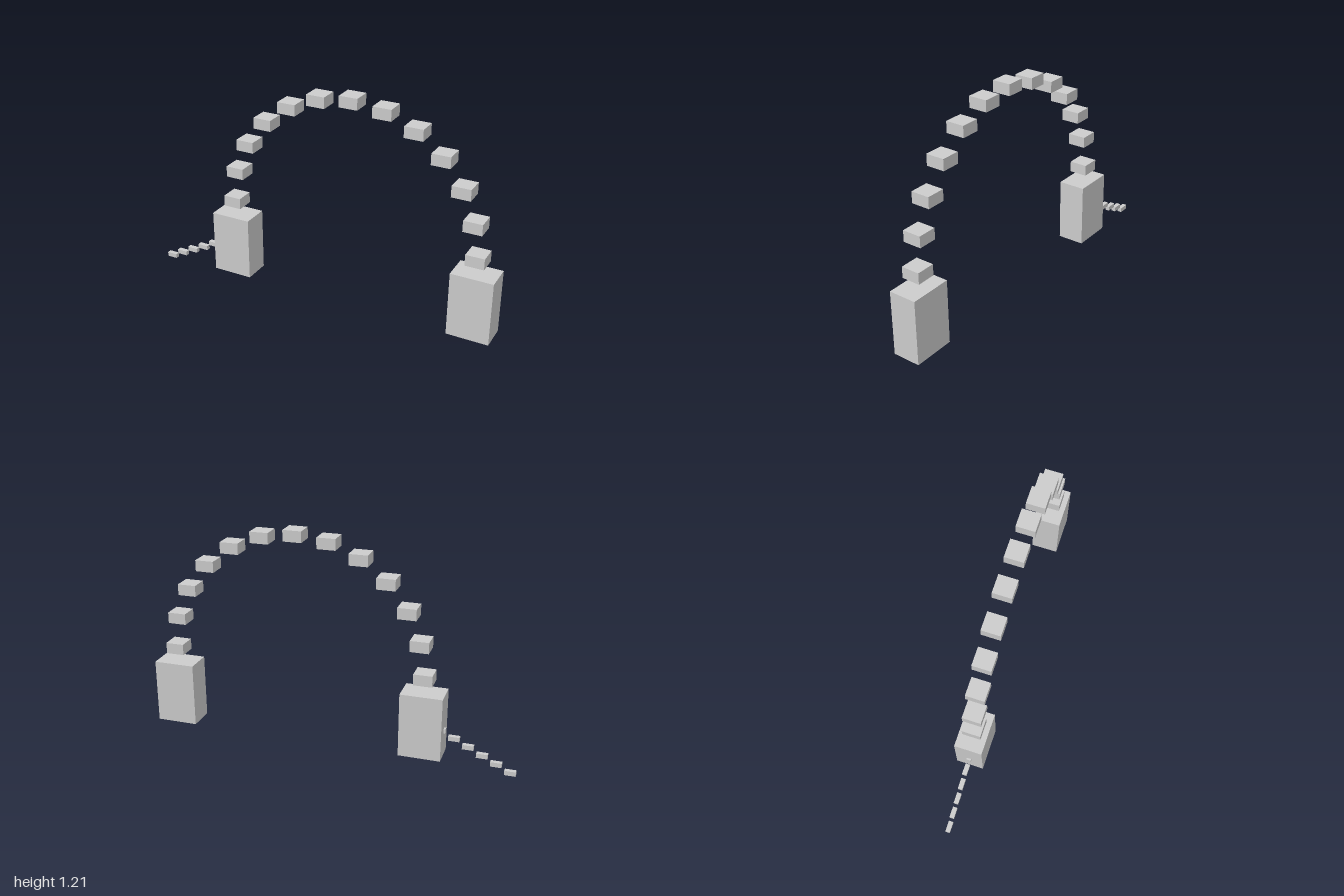
import * as THREE from 'three';

export function createModel() {
  const model = new THREE.Group();
  model.name = 'headphones';
  const material = new THREE.MeshStandardMaterial({ color: 0xcccccc, flatShading: true });

  const addBlock = (parent, name, geometry, x, y) => {
    const mesh = new THREE.Mesh(geometry, material);
    mesh.name = name;
    mesh.position.set(x, y, 0);
    parent.add(mesh);
  };

  const centreX = 0.191;
  const radius = 0.694;

  // Ear cups at both ends of the arch
  const cup = new THREE.BoxGeometry(0.225, 0.35, 0.15);
  addBlock(model, 'rightEarCup', cup, centreX - radius, 0.23);
  addBlock(model, 'leftEarCup', cup, centreX + radius, 0.23);

  // Headband: upright blocks spaced evenly along a half circle
  const headband = new THREE.Group();
  headband.name = 'headband';
  const bandBlock = new THREE.BoxGeometry(0.1, 0.06, 0.1);
  const steps = 12;
  for (let i = 0; i <= steps; i++) {
    const a = (i / steps) * Math.PI;
    addBlock(headband, 'headbandBlock', bandBlock,
      centreX + radius * Math.cos(a), 0.485 + radius * Math.sin(a));
  }
  model.add(headband);

  // Boom: small blocks descending from the right cup to the ground
  const boom = new THREE.Group();
  boom.name = 'microphoneBoom';
  const boomBlock = new THREE.BoxGeometry(0.06, 0.025, 0.025);
  for (let i = 0; i < 6; i++) {
    addBlock(boom, 'boomBlock', boomBlock, -0.97 + 0.075 * i, 0.0125 + 0.0375 * i);
  }
  model.add(boom);

  return model;
}
